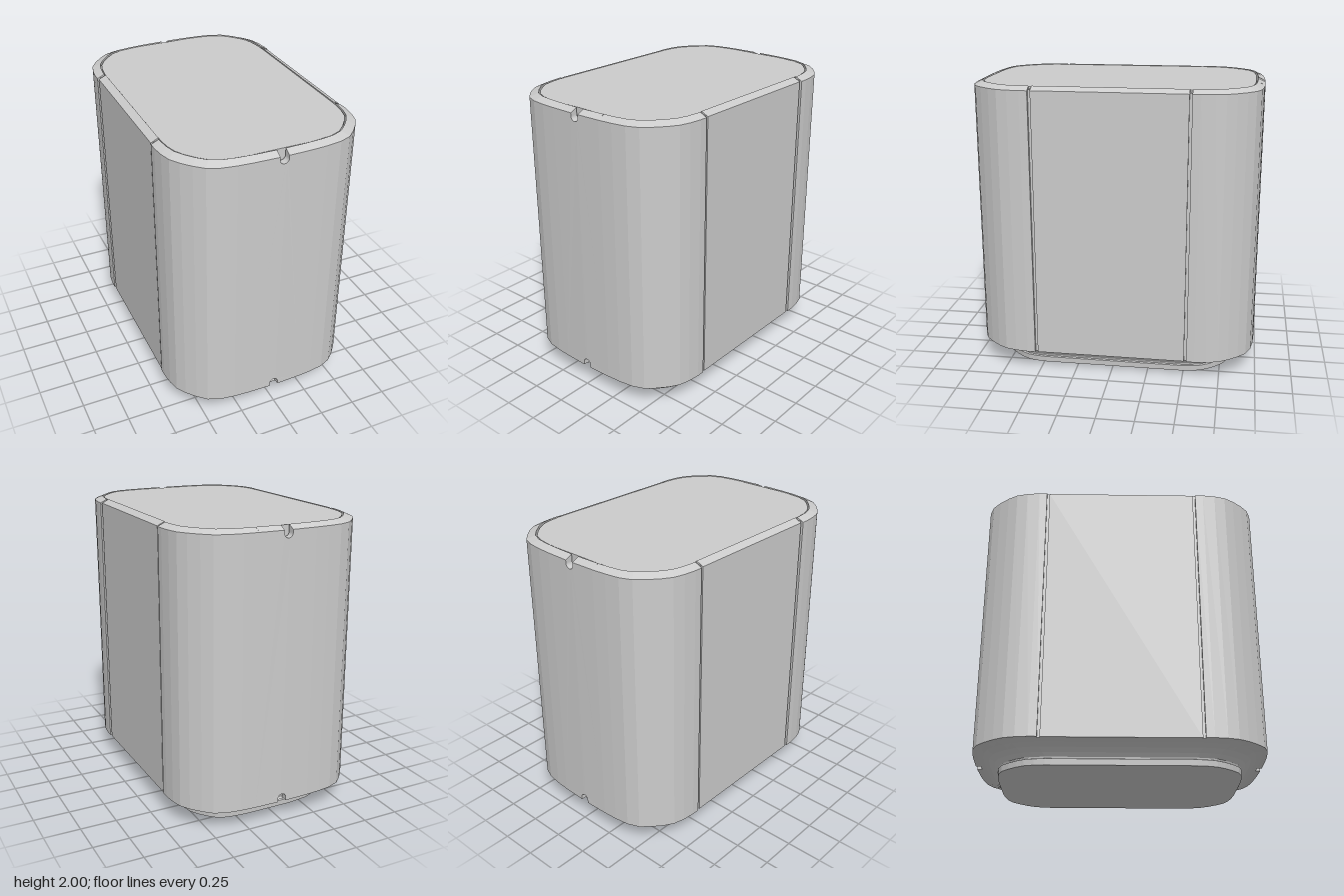
import * as THREE from 'three';

const material = new THREE.MeshStandardMaterial({ color: 0xcccccc, flatShading: true, side: THREE.DoubleSide });
const BOTTOM = 0.14, EDGE = 1.975, TOP = 2;
const INNER_X = 0.924, INNER_Z = 0.949; // inner wall of the shell relative to the outer

// Plan of one rounded corner, from the middle of the front towards the side
const corner = [[0.2, 0.985], [0.3, 0.978], [0.4, 0.963], [0.48, 0.93], [0.54, 0.875],
  [0.595, 0.81], [0.635, 0.745], [0.655, 0.67], [0.665, 0.585], [0.665, 0.53]];

// Skin over a row of closed rings, with fan caps at both ends
function loft(rings) {
  const pos = [];
  const tri = (...pts) => pts.forEach(p => pos.push(...p));
  const n = rings[0].length;
  for (let i = 0; i + 1 < rings.length; i++) {
    for (let j = 0; j < n; j++) {
      const k = (j + 1) % n;
      const a = rings[i][j], b = rings[i][k], c = rings[i + 1][k], d = rings[i + 1][j];
      tri(a, b, c);
      tri(a, c, d);
    }
  }
  const first = rings[0], last = rings[rings.length - 1];
  for (let j = 1; j + 1 < n; j++) {
    tri(first[0], first[j + 1], first[j]);
    tri(last[0], last[j], last[j + 1]);
  }
  const geo = new THREE.BufferGeometry();
  geo.setAttribute('position', new THREE.Float32BufferAttribute(pos, 3));
  geo.computeVertexNormals();
  return geo;
}

// Thin wall with a chamfered top, following a plan path
function wall(path) {
  return loft(path.map(([x, z]) => {
    const ix = x * INNER_X, iz = Math.abs(z) < 0.54 ? z : z * INNER_Z;
    return [[ix, BOTTOM, iz], [ix, TOP, iz], [x, EDGE, z], [x, BOTTOM, z]];
  }));
}

// Middle of the front wall, with a round-ended notch at top and bottom
function notchedPlate() {
  const w = 0.2, r = 0.03;
  const s = new THREE.Shape();
  s.moveTo(-w, BOTTOM);
  s.lineTo(-r, BOTTOM);
  s.absarc(0, 0.165, r, Math.PI, 0, true);
  s.lineTo(r, BOTTOM);
  s.lineTo(w, BOTTOM);
  s.lineTo(w, TOP);
  s.lineTo(r, TOP);
  s.absarc(0, 1.955, r, 0, Math.PI, true);
  s.lineTo(-r, TOP);
  s.lineTo(-w, TOP);
  const geo = new THREE.ExtrudeGeometry(s, { depth: 0.05, bevelEnabled: false, curveSegments: 10 });
  const p = geo.attributes.position;
  for (let i = 0; i < p.count; i++) {
    const front = p.getZ(i) > 0.025;
    if (front && p.getY(i) > 1.99) p.setY(i, EDGE);
    p.setZ(i, p.getZ(i) + 0.94 - 0.005 * (p.getX(i) / w) ** 2);
  }
  geo.computeVertexNormals();
  return geo;
}

export function createModel() {
  const group = new THREE.Group();
  const add = (name, geo, turn = 0) => {
    const mesh = new THREE.Mesh(geo, material);
    mesh.name = name;
    mesh.rotation.y = turn;
    group.add(mesh);
    return mesh;
  };

  // Solid core with a flared foot, rising to the flat lid
  const flipped = corner.map(([x, z]) => [x, -z]).reverse();
  const half = [...corner, ...flipped];
  const outline = [...half, ...half.map(([x, z]) => [-x, -z])];
  const levels = [ // height, x scale, z scale
    [0, 0.79, 0.826], [0.04, 0.795, 0.83], [0.045, 0.782, 0.822], [0.055, 0.785, 0.826],
    [0.08, 0.815, 0.855], [0.105, 0.86, 0.89], [0.125, 0.915, 0.93], [0.138, 0.965, 0.97],
    [0.141, 0.912, 0.94], [1.995, 0.912, 0.94]];
  add('core', loft(levels.map(([y, sx, sz]) => outline.map(([x, z]) => [x * sx, y, z * sz]))));

  // Shell: each half is turned round to make the opposite one
  const mirrored = corner.map(([x, z]) => [-x, z]).reverse();
  [['front', 'left', 0], ['back', 'right', Math.PI]].forEach(([end, side, turn]) => {
    add(end + 'NotchedPlate', notchedPlate(), turn);
    add(end + 'CornerA', wall(corner), turn);
    add(end + 'CornerB', wall(mirrored), turn);
    add(side + 'SidePanel', wall([[0.66, 0.512], [0.66, -0.512]]), turn);
  });

  // Recessed strips at the bottom of the four seams
  for (const sx of [-1, 1]) {
    for (const sz of [-1, 1]) {
      const strip = add('seamStrip', new THREE.BoxGeometry(0.04, 1.84, 0.022));
      strip.position.set(sx * 0.625, 1.06, sz * 0.521);
    }
  }
  return group;
}
